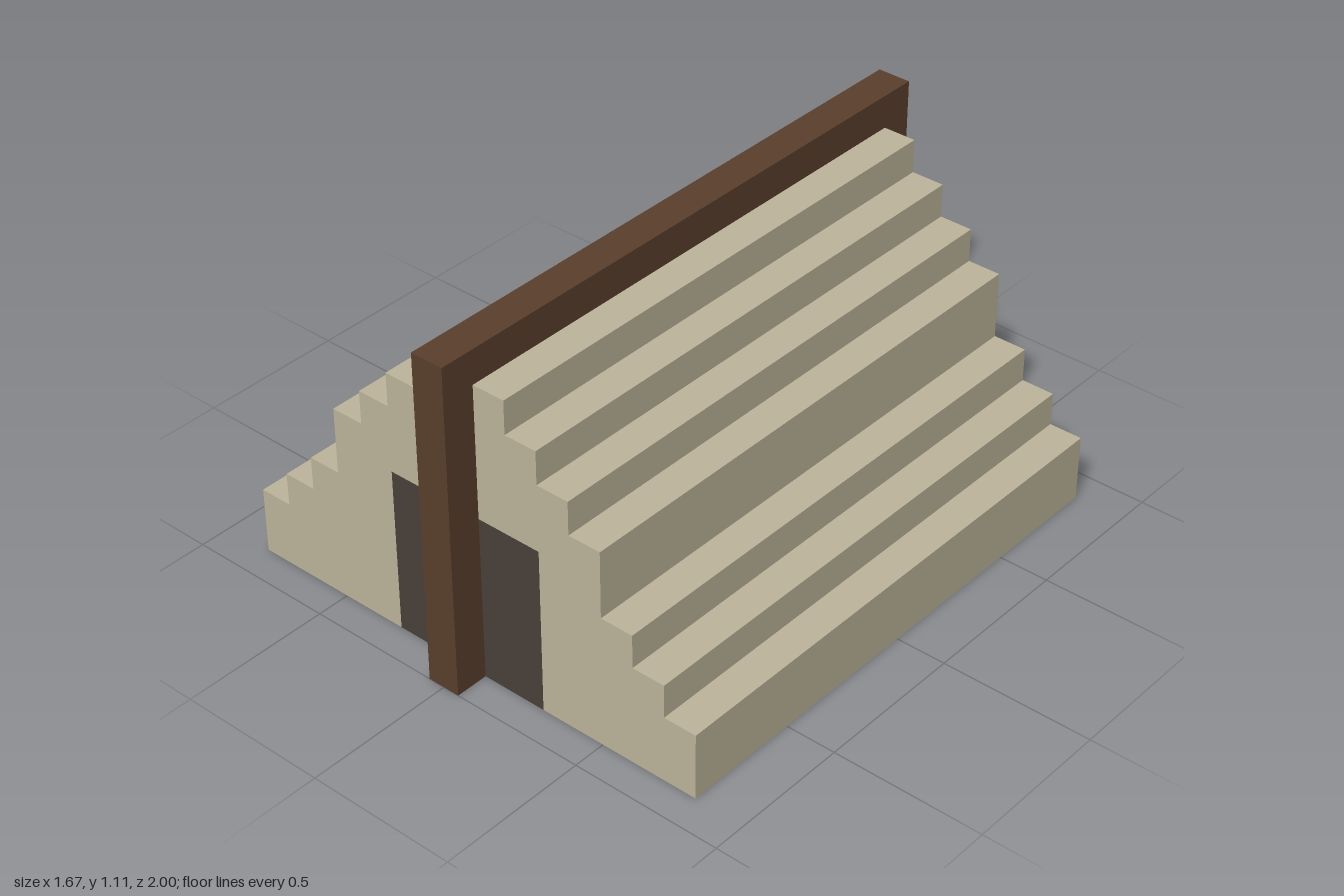
import * as THREE from 'three';

const U = 1 / 9; // one block

// Roof steps from eave to ridge: inner x, bottom y, top y (in blocks); accent marks dark blocks on the -x side
const STEPS = [
  { x: 6.5, y0: 0, y1: 2 },
  { x: 5.5, y0: 2, y1: 3, accent: true },
  { x: 4.5, y0: 3, y1: 4 },
  { x: 3.5, y0: 4, y1: 6, accent: true },
  { x: 2.5, y0: 6, y1: 7 },
  { x: 1.5, y0: 7, y1: 8 },
  { x: 0.5, y0: 8, y1: 9, accent: true },
];
const DOOR = { half: 2.5, height: 5 };

export function createModel() {
  const group = new THREE.Group();
  const mat = (name, color) => new THREE.MeshStandardMaterial({ name, color });
  const plaster = mat('sandPlaster', 0xbeb59b);
  const timber = mat('brownTimber', 0x5a3f2c);
  const dark = mat('darkWood', 0x4a403a);

  // Box given by its limits in blocks
  function block(name, material, x0, x1, y0, y1, z0, z1) {
    const mesh = new THREE.Mesh(new THREE.BoxGeometry((x1 - x0) * U, (y1 - y0) * U, (z1 - z0) * U), material);
    mesh.position.set((x0 + x1) / 2 * U, (y0 + y1) / 2 * U, (z0 + z1) / 2 * U);
    mesh.name = name;
    group.add(mesh);
  }

  // Stepped gable wall, one block thick, with an optional doorway
  function gable(name, z, doorway) {
    const right = [];
    for (const s of STEPS) right.push([s.x + 1, s.y0 && right.at(-1)[1]], [s.x + 1, s.y1]);
    const left = right.map(([x, y]) => [-x, y]).reverse();
    const points = [...right, ...left];
    if (doorway) {
      const { half, height } = DOOR;
      points.push([-half, 0], [-half, height], [half, height], [half, 0]);
    }
    const shape = new THREE.Shape(points.map(([x, y]) => new THREE.Vector2(x * U, y * U)));
    const mesh = new THREE.Mesh(new THREE.ExtrudeGeometry(shape, { depth: U, bevelEnabled: false }), plaster);
    mesh.position.z = z * U;
    mesh.name = name;
    group.add(mesh);
  }

  gable('frontGable', 7, true);
  gable('backGable', -8, false);
  block('door', dark, -DOOR.half, DOOR.half, 0, DOOR.height, 7, 8);

  // Hollow stepped roof between the gables
  STEPS.forEach(({ x, y0, y1, accent }) => {
    block('leftRoofStep', plaster, x, x + 1, y0, y1, -7, 7);
    if (accent) {
      block('rightRoofAccent', dark, -x - 1, -x, y1 - 1, y1, -7, 7);
      if (y1 - y0 > 1) block('rightRoofStep', plaster, -x - 1, -x, y0, y1 - 1, -7, 7);
    } else {
      block('rightRoofStep', plaster, -x - 1, -x, y0, y1, -7, 7);
    }
  });

  // Timber frame: ridge beam and end posts
  block('ridgeBeam', timber, -0.5, 0.5, 9, 10, -8, 8);
  block('frontPost', timber, -0.5, 0.5, 0, 10, 8, 9);
  block('backPost', timber, -0.5, 0.5, 0, 10, -9, -8);

  return group;
}
